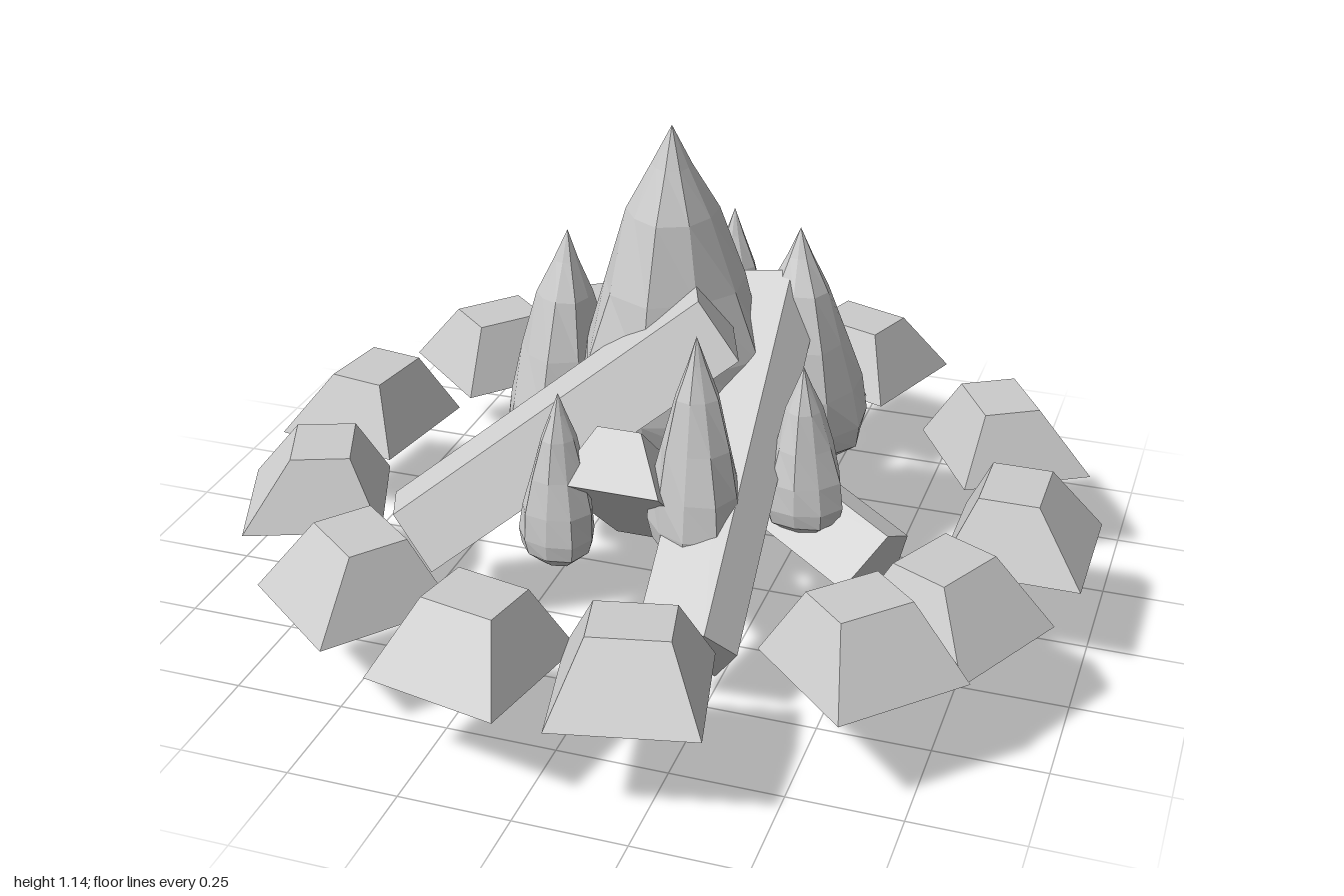
import * as THREE from 'three';

export function createModel() {
  const model = new THREE.Group();
  const grey = new THREE.MeshStandardMaterial({ color: 0xcccccc, flatShading: true });
  grey.name = 'plainGrey';

  const add = (geometry, name) => {
    const mesh = new THREE.Mesh(geometry, grey);
    mesh.name = name;
    model.add(mesh);
    return mesh;
  };

  // Ring stone: a block whose top is inset, most of all on its outer (+x) side
  const stoneGeometry = new THREE.BoxGeometry(0.315, 0.155, 0.315);
  const p = stoneGeometry.attributes.position;
  for (let i = 0; i < p.count; i++) {
    if (p.getY(i) < 0) continue;
    p.setX(i, p.getX(i) > 0 ? 0.045 : -0.09);
    p.setZ(i, Math.sign(p.getZ(i)) * 0.087);
  }

  // Ring of stones: x, z, outward direction in degrees (from +x towards +z)
  const stones = [
    [0.833, -0.01, 0], [0.715, -0.44, -30.5], [0.277, -0.787, -70], [-0.13, -0.82, -99.6],
    [-0.465, -0.69, -125], [-0.65, -0.52, -139], [-0.82, -0.11, -171], [-0.763, 0.303, 158.5],
    [-0.497, 0.655, 128], [-0.157, 0.812, 101.7], [0.19, 0.808, 77.4], [0.61, 0.57, 43.6],
    [0.747, 0.367, 26.6],
  ];
  stones.forEach(([x, z, angle]) => {
    const stone = add(stoneGeometry, 'ringStone');
    stone.position.set(x, 0.3125, z);
    stone.rotation.y = -THREE.MathUtils.degToRad(angle);
  });

  // Split logs, one tapered section for all:
  // middle of the flat side at the lower and upper end, then the direction of the narrow side
  const section = new THREE.Shape([
    new THREE.Vector2(-0.12, 0), new THREE.Vector2(0.12, 0),
    new THREE.Vector2(0.05, 0.14), new THREE.Vector2(-0.05, 0.14),
  ]);
  const logs = [
    [[-0.465, 0.18, 0.315], [0.18, 0.7, 0.08], [-0.45, 0.86, 0.2]],
    [[0.19, 0.145, 0.52], [0.155, 0.66, -0.24], [0.8, 0.5, 0.3]],
    [[0.52, 0.165, 0.16], [-0.16, 0.38, -0.15], [0.4, 0.87, -0.29]],
    [[-0.345, 0.08, -0.44], [-0.055, 0.65, -0.13], [0.68, 0.1, -0.68]],
    [[0, 0.12, 0.03], [0, 0.46, 0.43], [0, 1, 0]],
    [[0.13, 0.4, -0.33], [0.33, 0.42, -0.18], [0, 1, 0]],
  ];
  logs.forEach(([from, to, narrowSide]) => {
    const a = new THREE.Vector3(...from);
    const b = new THREE.Vector3(...to);
    const log = add(new THREE.ExtrudeGeometry(section, {
      depth: a.distanceTo(b), bevelEnabled: false,
    }), 'splitLog');
    log.position.copy(a);
    log.up.set(...narrowSide);
    log.lookAt(b);
  });

  // Teardrop flames: centre x, z, tip x, z, base y, tip y, radius
  const profile = [[0, 0], [0.55, 0], [0.92, 0.07], [1, 0.16], [0.93, 0.32],
    [0.72, 0.52], [0.46, 0.74], [0.2, 0.88], [0, 1]];
  const flames = [
    [-0.01, -0.05, 0.01, 0.01, 0.36, 1.15, 0.225],
    [-0.28, -0.02, -0.25, -0.02, 0.25, 0.86, 0.14],
    [0.27, -0.19, 0.25, -0.2, 0.3, 0.86, 0.15],
    [0.03, -0.42, 0.03, -0.41, 0.25, 0.8, 0.115],
    [0.17, 0.31, 0.165, 0.31, 0.27, 0.8, 0.105],
    [-0.13, 0.38, -0.12, 0.39, 0.25, 0.66, 0.085],
    [0.36, 0.12, 0.35, 0.12, 0.28, 0.67, 0.09],
  ];
  flames.forEach(([x, z, tipX, tipZ, base, tip, radius], n) => {
    const height = tip - base;
    const points = profile.map(([r, t]) => new THREE.Vector2(r * radius, t * height));
    const geometry = new THREE.LatheGeometry(points, 9);
    const q = geometry.attributes.position;
    // Lean the tip and make the outline slightly uneven
    for (let i = 0; i < q.count; i++) {
      const t = q.getY(i) / height;
      const angle = Math.atan2(q.getZ(i), q.getX(i));
      const swell = 1 + 0.07 * Math.sin(3 * angle + 5 * t + n);
      q.setX(i, q.getX(i) * swell + (tipX - x) * t);
      q.setZ(i, q.getZ(i) * swell + (tipZ - z) * t);
    }
    geometry.computeVertexNormals();
    add(geometry, n === 0 ? 'mainFlame' : 'smallFlame').position.set(x, base, z);
  });

  return model;
}
